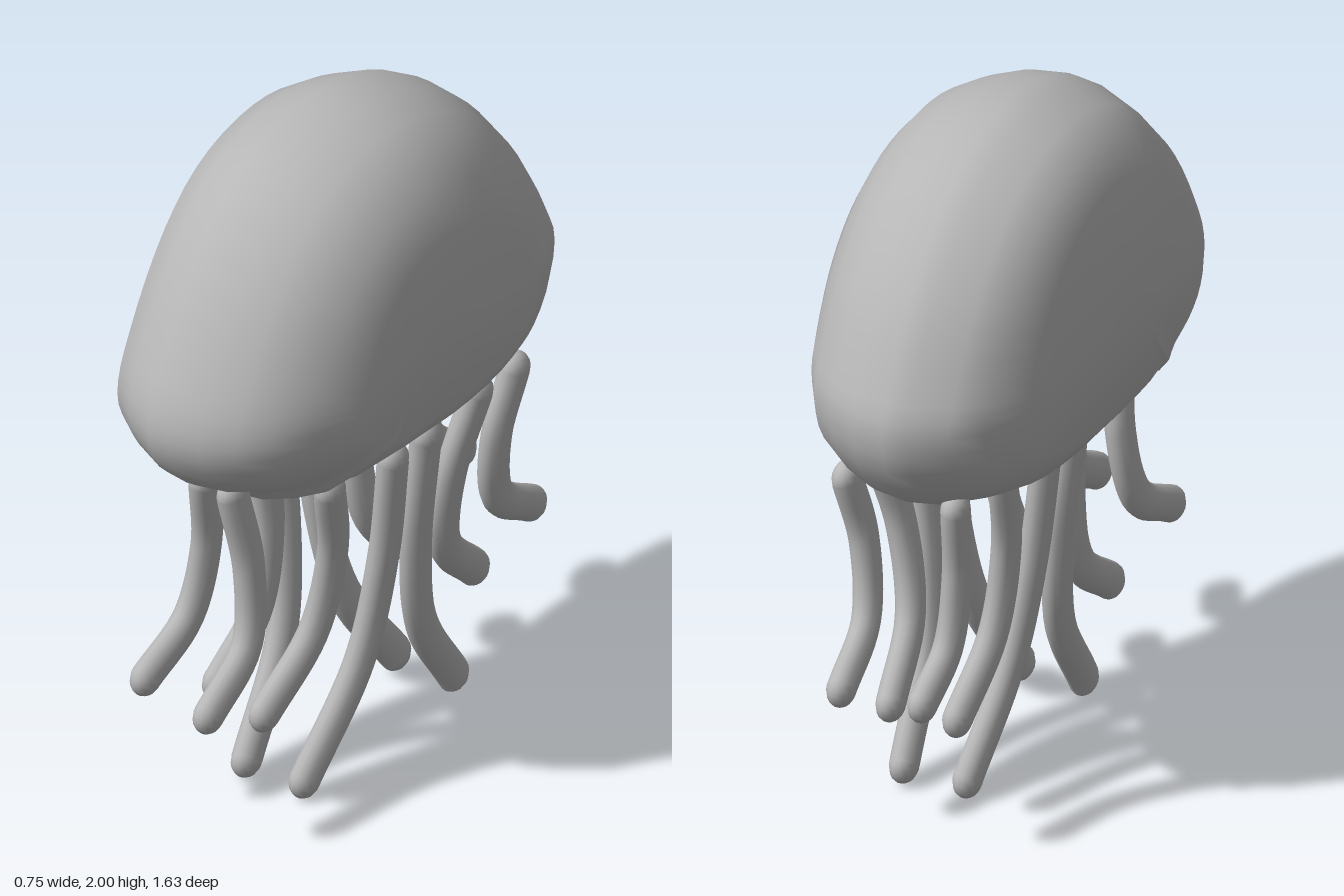
import * as THREE from 'three';

const grey = new THREE.MeshStandardMaterial({ color: 0xb6b6b6 });
grey.name = 'soft grey';

// Side outline of the bell as [z, y], from the crown round by the front
const OUTLINE = [
  [0, 2], [0.19, 1.97], [0.35, 1.9], [0.48, 1.79], [0.6, 1.64], [0.7, 1.47], [0.755, 1.35],
  [0.765, 1.25], [0.72, 1.15], [0.63, 1.075], [0.5, 1.015], [0.45, 0.965], [0.41, 0.98], [0.3, 0.95],
  [0, 0.938], [-0.2, 0.936], [-0.45, 0.965], [-0.61, 1.02], [-0.7, 1.075], [-0.79, 1.2],
  [-0.81, 1.33], [-0.77, 1.43], [-0.68, 1.6], [-0.57, 1.74], [-0.45, 1.85], [-0.32, 1.93], [-0.16, 1.985],
];

// Slices through the bell: [x, scale of the outline]
const SLICES = [
  [-0.38, 0.27], [-0.34, 0.67], [-0.28, 0.84], [-0.2, 0.92], [-0.1, 0.985], [-0.03, 1],
  [0.07, 0.98], [0.16, 0.925], [0.24, 0.85], [0.31, 0.71], [0.375, 0.52],
];

function makeBell() {
  const n = 60, pivotY = 1.39, pivotZ = 0.03;
  const curve = new THREE.CatmullRomCurve3(OUTLINE.map(([z, y]) => new THREE.Vector3(0, y, z)), true);
  const ring = curve.getPoints(n).slice(0, n);
  const pos = [], idx = [];
  for (const [x, s] of SLICES) {
    for (const p of ring) pos.push(x, pivotY + s * (p.y - pivotY), pivotZ + s * (p.z - pivotZ));
  }
  const last = SLICES.length - 1;
  const capA = pos.length / 3, capB = capA + 1;
  pos.push(SLICES[0][0], pivotY, pivotZ, SLICES[last][0], pivotY, pivotZ);
  for (let j = 0; j < n; j++) {
    const k = (j + 1) % n;
    for (let i = 0; i < last; i++) {
      const a = i * n + j, b = a + n, c = (i + 1) * n + k, d = i * n + k;
      idx.push(a, d, c, a, c, b);
    }
    idx.push(capA, k, j, capB, last * n + j, last * n + k);
  }
  const g = new THREE.BufferGeometry();
  g.setAttribute('position', new THREE.Float32BufferAttribute(pos, 3));
  g.setIndex(idx);
  g.computeVertexNormals();
  const bell = new THREE.Mesh(g, grey);
  bell.name = 'bell';
  return bell;
}

// Curved arm with rounded ends, narrower across x than along z
function makeTentacle(x0, x1, path) {
  const r = 0.053, squash = 0.75;
  const top = path[0][1], drop = top - path[path.length - 1][1];
  const pts = path.map(([z, y]) =>
    new THREE.Vector3((x0 + (x1 - x0) * (top - y) / drop) / squash, y, z));
  const curve = new THREE.CatmullRomCurve3(pts);
  const arm = new THREE.Group();
  arm.name = 'tentacle';
  arm.scale.x = squash;
  const tube = new THREE.Mesh(new THREE.TubeGeometry(curve, 24, r, 14), grey);
  tube.name = 'tentacleArm';
  arm.add(tube);
  for (const p of [pts[0], pts[pts.length - 1]]) {
    const end = new THREE.Mesh(new THREE.SphereGeometry(r, 14, 10), grey);
    end.name = 'tentacleEnd';
    end.position.copy(p);
    arm.add(end);
  }
  return arm;
}

// Each tentacle: [x at top, x at tip, path of [z, y]]
const C = [[0.07, 0.98], [0.065, 0.66], [0.13, 0.34], [0.34, 0.055]];
const D = [[-0.085, 0.98], [-0.095, 0.62], [-0.165, 0.33], [-0.36, 0.06]];
const E = [[-0.335, 1.0], [-0.275, 0.76], [-0.315, 0.5], [-0.5, 0.32]];
const TENTACLES = [
  [0.055, 0.11, [[0.575, 1.05], [0.53, 0.8], [0.57, 0.58], [0.765, 0.455]]],
  [-0.1, -0.155, [[0.49, 1.0], [0.45, 0.78], [0.505, 0.56], [0.69, 0.45]]],
  [0.2, 0.095, [[0.32, 0.99], [0.255, 0.76], [0.29, 0.5], [0.48, 0.32]]],
  [-0.1, -0.105, [[0.22, 0.99], [0.185, 0.7], [0.235, 0.47], [0.42, 0.325]]],
  [0.235, 0.13, C], [-0.17, -0.065, C],
  [0.235, 0.13, D], [-0.17, -0.065, D],
  [0.23, 0.1, E], [-0.16, -0.105, E],
  [0.23, 0.15, [[-0.51, 0.99], [-0.465, 0.79], [-0.515, 0.57], [-0.7, 0.445]]],
  [-0.15, -0.13, [[-0.6, 1.02], [-0.575, 0.81], [-0.615, 0.6], [-0.76, 0.49]]],
];

export function createModel() {
  const model = new THREE.Group();
  model.name = 'jellyfish';
  model.add(makeBell());
  for (const t of TENTACLES) model.add(makeTentacle(...t));
  return model;
}
